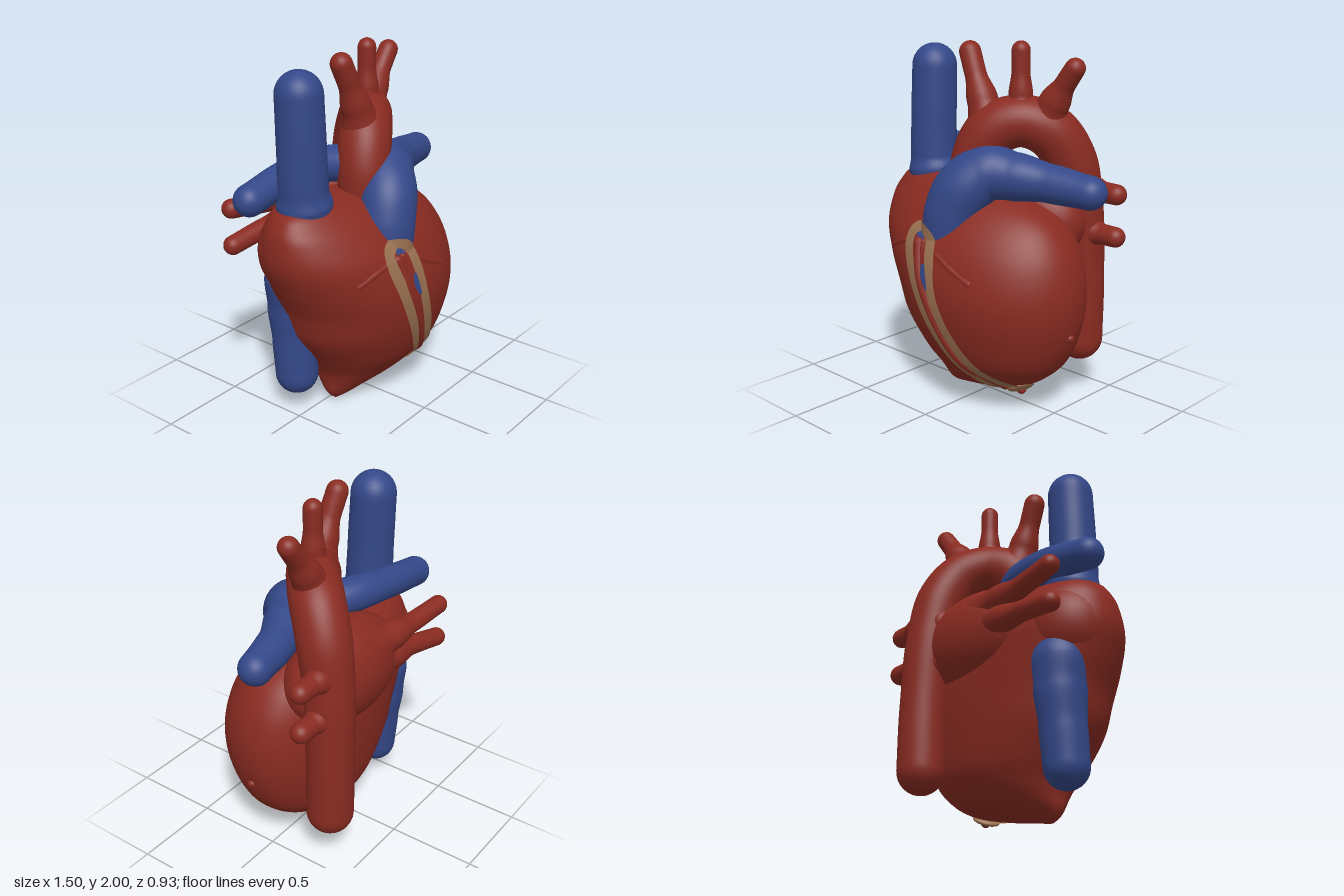
import * as THREE from 'three';

const mat = (name, color, side = THREE.FrontSide) => {
  const m = new THREE.MeshStandardMaterial({ color, side });
  m.name = name;
  return m;
};

// Skin a list of rings; wrapped rings have no seam
function skin(rows, wrap = true) {
  const n = rows[0].length, idx = [];
  for (let i = 0; i < rows.length - 1; i++) {
    for (let j = 0; j < (wrap ? n : n - 1); j++) {
      const k = (j + 1) % n, a = i * n + j, b = i * n + k;
      idx.push(a, b, a + n, b, b + n, a + n);
    }
  }
  const g = new THREE.BufferGeometry().setFromPoints(rows.flat());
  g.setIndex(idx);
  g.computeVertexNormals();
  return g;
}

// Body sections: y, x min, x max, z front, z back
const SECTIONS = [
  [0, -0.225, -0.19, 0.04, 0.02],
  [0.03, -0.26, -0.06, 0.085, -0.02],
  [0.07, -0.28, 0.12, 0.135, -0.08],
  [0.13, -0.29, 0.33, 0.21, -0.16],
  [0.2, -0.31, 0.45, 0.28, -0.22],
  [0.3, -0.37, 0.545, 0.36, -0.27],
  [0.48, -0.49, 0.625, 0.43, -0.3],
  [0.65, -0.545, 0.652, 0.46, -0.315],
  [0.8, -0.615, 0.64, 0.45, -0.32],
  [0.95, -0.67, 0.585, 0.405, -0.32],
  [1.08, -0.665, 0.48, 0.32, -0.3],
  [1.17, -0.63, 0.31, 0.23, -0.25],
  [1.23, -0.56, 0.08, 0.15, -0.17],
  [1.26, -0.4, -0.25, 0.05, -0.05],
];

// Cubic interpolation of the section table at height y
function section(y) {
  const S = SECTIONS, last = S.length - 1;
  y = Math.min(Math.max(y, 0), S[last][0]);
  let i = 0;
  while (i < last - 1 && y > S[i + 1][0]) i++;
  const h = S[i + 1][0] - S[i][0], t = (y - S[i][0]) / h;
  const slope = (k, c) => {
    const a = S[Math.max(k - 1, 0)], b = S[Math.min(k + 1, last)];
    return (b[c] - a[c]) / (b[0] - a[0]);
  };
  const v = c => (2 * t ** 3 - 3 * t * t + 1) * S[i][c] + (3 * t * t - 2 * t ** 3) * S[i + 1][c]
    + h * ((t ** 3 - 2 * t * t + t) * slope(i, c) + (t ** 3 - t * t) * slope(i + 1, c));
  const x0 = v(1), x1 = v(2), zf = v(3), zb = v(4);
  const cz = Math.min(0.03, (zf + zb) / 2 + 0.03);
  return { cx: (x0 + x1) / 2, rx: (x1 - x0) / 2, cz, f: zf - cz, b: cz - zb };
}

function bodyGeometry() {
  const rows = [], N = 96, M = 96;
  for (let i = 0; i <= N; i++) {
    const y = 1.26 * (0.5 - 0.5 * Math.cos(Math.PI * i / N)), s = section(y), row = [];
    for (let j = 0; j < M; j++) {
      const a = -2 * Math.PI * j / M, q = Math.sin(a);
      const depth = q > 0 ? q * s.f : -(Math.abs(q) ** 0.85) * s.b;
      row.push(new THREE.Vector3(s.cx + s.rx * Math.cos(a), y, s.cz + depth));
    }
    rows.push(row);
  }
  // close the top and the apex
  const middle = row => {
    const c = row.reduce((a, p) => a.add(p), new THREE.Vector3()).divideScalar(M);
    return row.map(() => c.clone());
  };
  return skin([middle(rows[0]), ...rows, middle(rows[N])]);
}

// Front depth of the body, including the root of the pulmonary trunk
function frontDepth(x, y) {
  const s = section(y), u = Math.min(Math.max((x - s.cx) / s.rx, -0.985), 0.985);
  const body = s.cz + s.f * Math.sqrt(1 - u * u);
  const dx = x + 0.05 - Math.max(y - 0.97, 0) * 0.15, dy = Math.min(y - 0.97, 0);
  const r2 = 0.155 ** 2 - dx * dx - dy * dy;
  return r2 > 0 ? Math.max(body, 0.245 + Math.sqrt(r2)) : body;
}

// Point on the front of the body, lifted along its normal
function onFront(x, y, lift) {
  const e = 0.004, s = section(y), px = Math.min(x, s.cx + s.rx * 0.985);
  const n = new THREE.Vector3(frontDepth(px - e, y) - frontDepth(px + e, y),
    frontDepth(px, y - e) - frontDepth(px, y + e), 2 * e).normalize();
  return new THREE.Vector3(px, y, frontDepth(px, y)).addScaledVector(n, lift);
}

// Round-ended vessel; each point is x, y, z, radius
function vessel(points, sides = 28) {
  const curve = new THREE.CatmullRomCurve3(points.map(p => new THREE.Vector3(...p)));
  const N = points.length * 10, K = 8, frames = curve.computeFrenetFrames(N), rows = [];
  const ring = (i, shift, scale) => {
    const t = i / N, f = t * (points.length - 1), k = Math.min(Math.floor(f), points.length - 2);
    const w = f - k, e = w * w * (3 - 2 * w);
    const r = points[k][3] * (1 - e) + points[k + 1][3] * e;
    const c = curve.getPoint(t).addScaledVector(frames.tangents[i], shift * r);
    rows.push(Array.from({ length: sides }, (_, j) => {
      const a = 2 * Math.PI * j / sides;
      return c.clone().addScaledVector(frames.normals[i], r * scale * Math.cos(a))
        .addScaledVector(frames.binormals[i], r * scale * Math.sin(a));
    }));
  };
  // frames at equal parameter steps
  for (let i = 0; i <= N; i++) {
    const old = frames.normals[i], T = curve.getTangent(i / N);
    frames.tangents[i] = T;
    frames.normals[i] = old.clone().addScaledVector(T, -old.dot(T)).normalize();
    frames.binormals[i] = T.clone().cross(frames.normals[i]);
  }
  for (let k = 0; k < K; k++) ring(0, -Math.cos(k / K * Math.PI / 2), Math.sin(k / K * Math.PI / 2) + 1e-4);
  for (let i = 0; i <= N; i++) ring(i, 0, 1);
  for (let k = K - 1; k >= 0; k--) ring(N, Math.cos(k / K * Math.PI / 2), Math.sin(k / K * Math.PI / 2) + 1e-4);
  return skin(rows);
}

// Thin strip lying on the front of the body; each point is x, y, width
function strip(points, lift) {
  const curve = new THREE.CatmullRomCurve3(points.map(p => new THREE.Vector3(...p)));
  const rows = [], N = 160;
  for (let i = 0; i <= N; i++) {
    const p = curve.getPoint(i / N), t = curve.getTangent(i / N).setZ(0).normalize();
    rows.push(Array.from({ length: 9 }, (_, j) => {
      const w = (j / 8 - 0.5) * p.z;
      return onFront(p.x - t.y * w, p.y + t.x * w, lift);
    }));
  }
  return skin(rows, false);
}

// Small vessel sunk into the front of the body
const surfaceVessel = (points, r, sink) => vessel(points.map(([x, y]) => [...onFront(x, y, -r * sink).toArray(), r]), 12);

export function createModel() {
  const group = new THREE.Group();
  group.name = 'heart';
  const red = mat('muscleRed', 0x892b21), blue = mat('veinBlue', 0x344889, THREE.DoubleSide);
  const tan = mat('fatTan', 0x9a7150, THREE.DoubleSide);
  const add = (name, geometry, material) => {
    const m = new THREE.Mesh(geometry, material);
    m.name = name;
    group.add(m);
    return m;
  };
  const ball = (name, material, position, scale) => {
    const m = add(name, new THREE.SphereGeometry(1, 48, 32), material);
    m.position.set(...position);
    m.scale.set(...scale);
    return m;
  };

  // Chambers
  add('ventricles', bodyGeometry(), red);
  ball('leftAtrium', red, [0.09, 1.03, -0.18], [0.42, 0.29, 0.237]);
  ball('rightAtrium', red, [-0.39, 0.98, -0.01], [0.27, 0.27, 0.26]);

  // Aorta and its three branches
  add('aorta', vessel([[-0.02, 1.1, 0.08, 0.14], [-0.01, 1.36, 0.07, 0.145], [0.06, 1.52, 0.025, 0.145],
    [0.18, 1.575, -0.06, 0.14], [0.295, 1.52, -0.17, 0.145], [0.36, 1.36, -0.26, 0.145],
    [0.385, 1.1, -0.31, 0.138], [0.4, 0.7, -0.332, 0.13], [0.4, 0.33, -0.332, 0.13]], 36), red);
  [[[0.04, 1.52, 0.025, 0.12], [-0.02, 1.68, 0.025, 0.085], [-0.075, 1.81, 0.02, 0.06], [-0.125, 1.925, 0.01, 0.06]],
    [[0.18, 1.6, -0.06, 0.11], [0.18, 1.72, -0.06, 0.065], [0.18, 1.84, -0.06, 0.05], [0.18, 1.95, -0.06, 0.05]],
    [[0.27, 1.54, -0.14, 0.12], [0.345, 1.68, -0.14, 0.085], [0.42, 1.79, -0.14, 0.057], [0.48, 1.872, -0.14, 0.055]],
  ].forEach((p, i) => add('aorticBranch' + (i + 1), vessel(p), red));

  // Pulmonary trunk and arteries
  add('pulmonaryTrunk', vessel([[-0.05, 0.97, 0.245, 0.155], [-0.03, 1.1, 0.24, 0.157], [0.02, 1.22, 0.205, 0.163],
    [0.11, 1.305, 0.12, 0.16], [0.25, 1.3, 0.055, 0.13], [0.44, 1.28, -0.015, 0.103], [0.66, 1.26, -0.06, 0.09]], 36), blue);
  add('rightPulmonaryArtery', vessel([[0.08, 1.33, 0.05, 0.12], [-0.1, 1.36, -0.09, 0.1],
    [-0.35, 1.35, -0.155, 0.09], [-0.665, 1.3, -0.155, 0.086]]), blue);

  // Great veins
  add('upperVenaCava', vessel([[-0.42, 1.24, 0, 0.15], [-0.428, 1.32, 0, 0.133],
    [-0.43, 1.55, -0.005, 0.129], [-0.43, 1.825, -0.015, 0.126]], 36), blue);
  add('lowerVenaCava', vessel([[-0.4, 0.78, -0.1, 0.165], [-0.405, 0.62, -0.105, 0.145],
    [-0.415, 0.42, -0.095, 0.125], [-0.42, 0.22, -0.08, 0.12]], 36), blue);

  // Pulmonary veins
  for (const y of [1.2, 0.965]) {
    add('leftPulmonaryVein', vessel([[0.3, y - 0.03, -0.3, 0.09], [0.48, y, -0.32, 0.075],
      [0.56, y, -0.32, 0.057], [0.635, y, -0.32, 0.056]]), red);
  }
  [[1.13, 1.18], [1.05, 0.97]].forEach(([a, b]) => add('rightPulmonaryVein', vessel([
    [0, a, -0.25, 0.14], [-0.17, a * 0.7 + b * 0.3, -0.31, 0.085],
    [-0.36, (a + b) / 2, -0.335, 0.056], [-0.59, b, -0.365, 0.053]]), red));

  // Fat bands looping around the front groove
  add('fatBand', strip([[0.25, 0.115, 0.065], [0.1, 0.31, 0.065], [-0.03, 0.525, 0.065], [-0.14, 0.76, 0.07],
    [-0.2, 0.93, 0.07], [-0.19, 0.99, 0.065], [-0.12, 1.015, 0.065], [-0.05, 0.98, 0.065], [-0.02, 0.88, 0.068],
    [0.015, 0.71, 0.065], [0.095, 0.5, 0.065], [0.2, 0.31, 0.065], [0.345, 0.15, 0.065]], 0.008), tan);
  const patch = ball('fatBandEnd', tan, [0.325, 0.13, 0.08], [0.075, 0.075, 0.022]);
  patch.lookAt(0.825, -0.67, 0.28);
  ball('grooveArteryEnd', red, [0.333, 0.117, 0.083], [0.026, 0.026, 0.026]);
  add('grooveVein', strip([[-0.055, 0.84, 0.025], [-0.045, 0.78, 0.04], [-0.015, 0.71, 0.015]], 0.01), blue);
  add('grooveVeinTop', strip([[-0.15, 0.97, 0.02], [-0.12, 0.98, 0.03], [-0.09, 0.965, 0.02]], 0.01), blue);

  // Small vessels on the surface
  add('grooveArtery', surfaceVessel([[-0.14, 0.94], [-0.09, 0.76], [0.02, 0.52], [0.14, 0.3], [0.27, 0.135]], 0.028, 0.4), red);
  add('grooveBranch', surfaceVessel([[-0.1, 0.95], [-0.05, 0.7], [0.05, 0.5], [0.17, 0.29]], 0.016, 0.4), red);
  add('leftSurfaceArtery', surfaceVessel([[0.02, 0.9], [0.12, 0.85], [0.25, 0.79]], 0.024, 0.75), red);
  add('rightSurfaceArtery', surfaceVessel([[-0.23, 0.93], [-0.32, 0.9], [-0.4, 0.86]], 0.024, 0.75), red);
  ball('sideVesselEnd', red, [0.617, 0.48, 0.03], [0.027, 0.025, 0.025]);
  return group;
}
